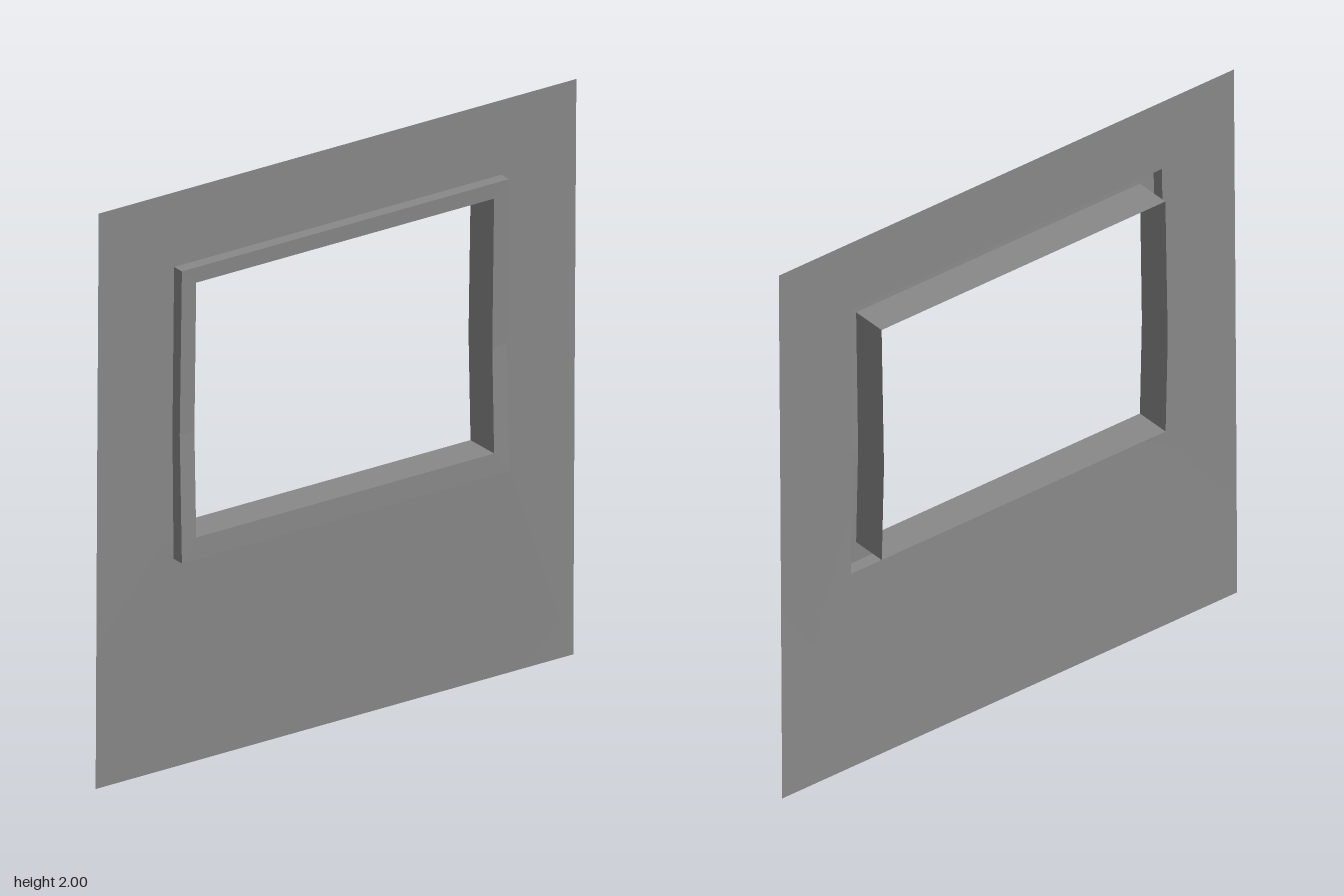
import * as THREE from 'three';
import { mergeVertices } from 'three/addons/utils/BufferGeometryUtils.js';

const MID_Y = 1.17; // height of the slight crease
const COLOR = 0x898989;

// Rectangular six-point loop, counter-clockwise seen from +x; x bends at the crease
function loop(halfZ, yLow, yHigh, xLow, xMid, xHigh) {
  return [
    [xLow, yLow, -halfZ], [xMid, MID_Y, -halfZ], [xHigh, yHigh, -halfZ],
    [xHigh, yHigh, halfZ], [xMid, MID_Y, halfZ], [xLow, yLow, halfZ],
  ];
}

// Skin consecutive loops with quads, shaded smooth or flat
function skin(name, loops, smooth = false) {
  const positions = [];
  for (let k = 0; k < loops.length - 1; k++) {
    const a = loops[k], b = loops[k + 1];
    for (let i = 0; i < a.length; i++) {
      const j = (i + 1) % a.length;
      for (const p of [a[i], a[j], b[j], a[i], b[j], b[i]]) positions.push(...p);
    }
  }
  let geometry = new THREE.BufferGeometry();
  geometry.setAttribute('position', new THREE.Float32BufferAttribute(positions, 3));
  if (smooth) geometry = mergeVertices(geometry);
  geometry.computeVertexNormals();
  const material = new THREE.MeshStandardMaterial({
    color: COLOR, flatShading: !smooth, side: THREE.DoubleSide,
  });
  const mesh = new THREE.Mesh(geometry, material);
  mesh.name = name;
  return mesh;
}

export function createModel() {
  const group = new THREE.Group();
  group.name = 'windowPanel';

  const panelEdge = loop(0.927, 0, 2, 0.011, 0.02, 0.028);
  const panelHole = loop(0.635, 0.73, 1.742, 0.026, 0.02, 0.029);
  const frameOuter = loop(0.635, 0.73, 1.742, 0.072, 0.06, 0.072);
  const frameInner = loop(0.578, 0.805, 1.688, 0.07, 0.06, 0.07);
  const linerBack = loop(0.578, 0.805, 1.688, -0.06, -0.071, -0.059);

  // Thin wall sheet around the opening
  group.add(skin('panel', [panelEdge, panelHole], true));
  // Raised rim on the outside, open behind
  group.add(skin('windowFrame', [panelHole, frameOuter, frameInner]));
  // Deep sleeve running through the opening
  group.add(skin('windowLiner', [frameInner, linerBack]));
  return group;
}
